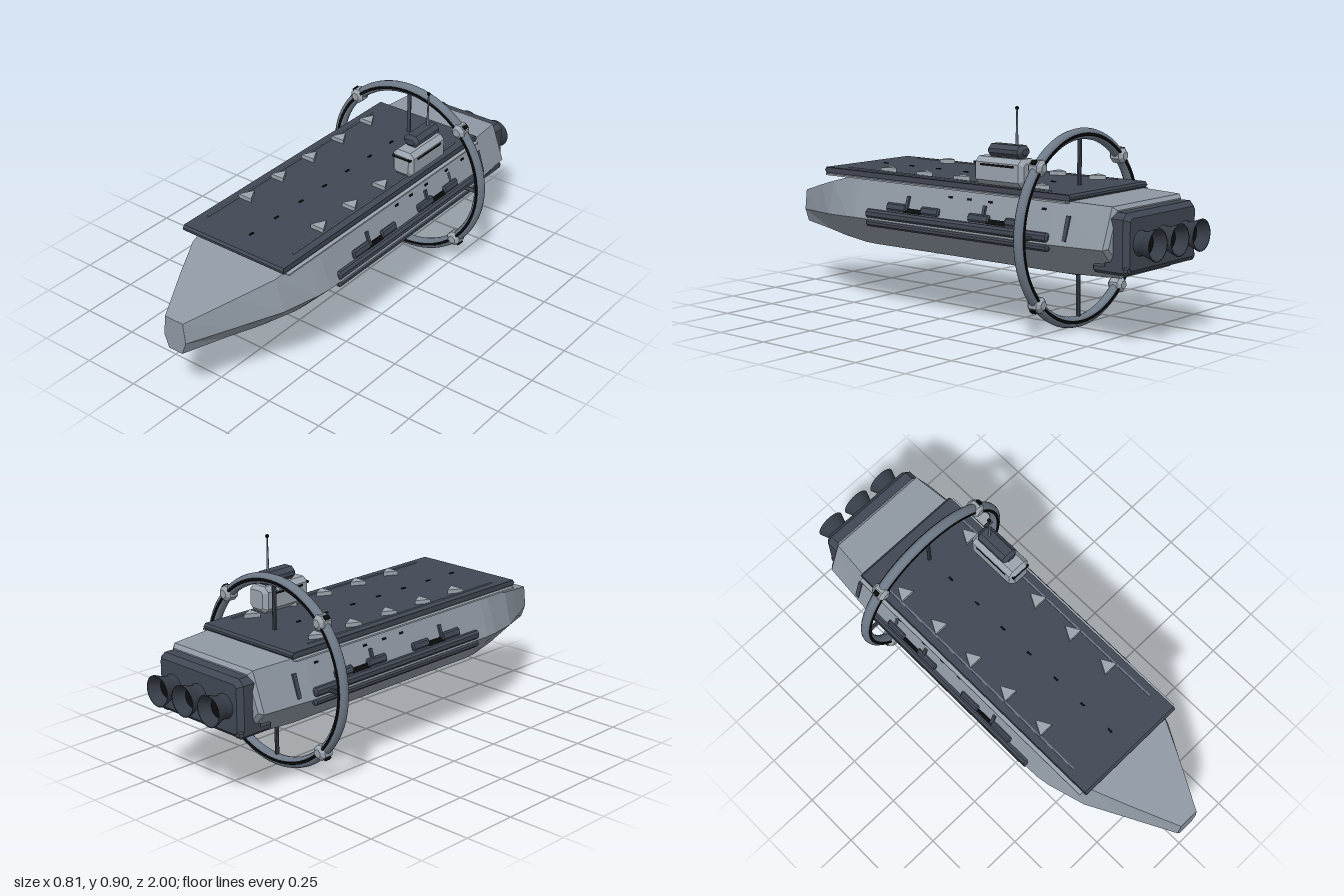
import * as THREE from 'three';

const mat = (color, side = THREE.FrontSide, flatShading = true) =>
  new THREE.MeshStandardMaterial({ color, side, flatShading });
const HULL = mat(0x8f98a3), DARK = mat(0x414854), BLACK = mat(0x0c0d0f);
const STEEL = mat(0x6f7a88, THREE.FrontSide, false), LIGHT = mat(0x9ba4ae);
const BELL = mat(0x363c46, THREE.DoubleSide, false);

// Box with chamfered edges, centred on the origin
function chamferBox(w, h, d, c) {
  const x = w / 2 - c, y = h / 2 - c, k = c * 0.6;
  const pts = [[x, -y + k], [x, y - k], [x - k, y], [k - x, y], [-x, y - k], [-x, k - y], [k - x, -y], [x - k, -y]];
  const shape = new THREE.Shape(pts.map(p => new THREE.Vector2(...p)));
  const g = new THREE.ExtrudeGeometry(shape, { depth: d - 2 * c, bevelSize: c, bevelThickness: c, bevelSegments: 1 });
  return g.translate(0, 0, c - d / 2);
}

// Hexagonal hull lofted from stern to bow
function hullGeometry() {
  // z, top y, top half width, chine y, chine half width, keel y, keel half width
  const rows = [
    [-0.86, 0.535, 0.215, 0.395, 0.27, 0.28, 0.16],
    [-0.845, 0.55, 0.228, 0.39, 0.288, 0.267, 0.17],
    [-0.6, 0.556, 0.25, 0.388, 0.308, 0.258, 0.183],
    [0.43, 0.556, 0.25, 0.388, 0.308, 0.258, 0.183],
    [0.49, 0.556, 0.243, 0.385, 0.298, 0.258, 0.176],
    [0.65, 0.515, 0.215, 0.374, 0.25, 0.264, 0.138],
    [0.8, 0.478, 0.145, 0.358, 0.166, 0.272, 0.09],
    [1, 0.426, 0.045, 0.338, 0.055, 0.282, 0.034],
  ];
  const loops = rows.map(([z, ty, tw, my, mw, by, bw]) =>
    [[bw, by, z], [mw, my, z], [tw, ty, z], [-tw, ty, z], [-mw, my, z], [-bw, by, z]]);
  const pos = [];
  const tri = (a, b, c) => pos.push(...a, ...b, ...c);
  for (let i = 0; i < loops.length - 1; i++) {
    for (let j = 0; j < 6; j++) {
      const k = (j + 1) % 6, p = loops[i], q = loops[i + 1];
      tri(p[j], p[k], q[k]);
      tri(p[j], q[k], q[j]);
    }
  }
  const bow = loops[loops.length - 1], stern = loops[0];
  for (let j = 1; j < 5; j++) {
    tri(bow[0], bow[j], bow[j + 1]);
    tri(stern[0], stern[j + 1], stern[j]);
  }
  const g = new THREE.BufferGeometry();
  g.setAttribute('position', new THREE.Float32BufferAttribute(pos, 3));
  g.computeVertexNormals();
  return g;
}

export function createModel() {
  const model = new THREE.Group();
  const add = (name, geo, material, x = 0, y = 0, z = 0, parent = model) => {
    const m = new THREE.Mesh(geo, material);
    m.name = name;
    m.position.set(x, y, z);
    parent.add(m);
    return m;
  };
  const box = (w, h, d) => new THREE.BoxGeometry(w, h, d);

  // Hull, keel plate and flight deck
  add('hull', hullGeometry(), HULL);
  add('keelPlate', chamferBox(0.19, 0.045, 0.96, 0.01), DARK, 0, 0.256, -0.11);
  add('deckUnderlay', box(0.545, 0.007, 1.3), LIGHT, 0, 0.551, -0.01);
  add('flightDeck', chamferBox(0.535, 0.027, 1.33, 0.009), DARK, 0, 0.567, -0.005);

  // Deck markers: flat triangles pointing aft, edge strips and centre lights
  const tri = new THREE.Shape([[-0.033, -0.03], [0.033, -0.03], [0, 0.03]].map(p => new THREE.Vector2(...p)));
  const triGeo = new THREE.ExtrudeGeometry(tri, { depth: 0.018, bevelEnabled: false }).rotateX(-Math.PI / 2);
  for (const s of [-1, 1]) {
    for (let i = 0; i < 5; i++) add('deckMarker', triGeo, LIGHT, s * 0.187, 0.58, -0.485 + i * 0.204);
    add('deckEdgeStrip', box(0.007, 0.006, 1.1), STEEL, s * 0.22, 0.582, 0);
  }
  for (let i = 0; i < 7; i++) add('deckLight', box(0.008, 0.006, 0.022), BLACK, 0, 0.581, -0.39 + i * 0.155);

  // Control tower with mast
  const tower = new THREE.Group();
  tower.name = 'controlTower';
  tower.position.set(0.204, 0, -0.305);
  model.add(tower);
  add('towerBase', chamferBox(0.106, 0.112, 0.25, 0.017), LIGHT, 0, 0.638, 0, tower);
  add('bridgeWindow', box(0.09, 0.009, 0.01), BLACK, 0, 0.668, 0.122, tower);
  for (const s of [-1, 1]) add('sideWindow', box(0.006, 0.009, 0.17), BLACK, s * 0.052, 0.664, 0, tower);
  add('towerTop', chamferBox(0.076, 0.052, 0.175, 0.015), DARK, 0, 0.72, -0.018, tower);
  add('mast', new THREE.CylinderGeometry(0.003, 0.006, 0.155, 8), STEEL, 0, 0.815, -0.06, tower);
  add('mastTip', new THREE.SphereGeometry(0.008, 12, 8), BLACK, 0, 0.892, -0.06, tower);

  // Habitat ring with inlaid bands, spokes and clamps
  const ring = new THREE.Group();
  ring.name = 'ringAssembly';
  ring.position.set(0, 0.405, -0.52);
  model.add(ring);
  add('ring', new THREE.TorusGeometry(0.38, 0.023, 12, 72), STEEL, 0, 0, 0, ring);
  for (const s of [-1, 1]) add('ringBand', new THREE.TorusGeometry(0.378, 0.008, 6, 72), BLACK, 0, 0, s * 0.0185, ring);
  for (let i = 0; i < 4; i++) {
    const arm = new THREE.Group();
    arm.name = 'ringArm';
    arm.rotation.z = i * Math.PI / 2;
    ring.add(arm);
    const len = i % 2 ? 0.3 : 0.16;
    add('spoke', new THREE.CylinderGeometry(0.009, 0.009, len, 10).rotateZ(Math.PI / 2), DARK, 0.365 - len / 2, 0, 0, arm);
    const clamp = new THREE.Group();
    clamp.name = 'ringClamp';
    clamp.rotation.z = Math.PI / 4;
    arm.add(clamp);
    add('clampBody', chamferBox(0.06, 0.06, 0.068, 0.014), LIGHT, 0.38, 0, 0, clamp);
    add('clampPad', box(0.012, 0.018, 0.024), BLACK, 0.412, 0, 0, clamp);
  }

  // Side galleries, mirrored
  for (const s of [-1, 1]) {
    const side = new THREE.Group();
    side.name = s > 0 ? 'leftGallery' : 'rightGallery';
    model.add(side);
    const put = (name, geo, m, x, y, z) => {
      const part = add(name, geo, m, s * x, y, z, side);
      part.rotation.z = s * 0.31;
    };
    add('upperRail', chamferBox(0.036, 0.036, 0.97, 0.008), DARK, s * 0.297, 0.413, -0.115, side);
    add('lowerRail', chamferBox(0.03, 0.03, 0.97, 0.008), DARK, s * 0.297, 0.373, -0.115, side);
    // Equipment boxes above the rail
    for (const z0 of [0.125, -0.32]) {
      put('equipmentBox', chamferBox(0.024, 0.034, 0.11, 0.006), DARK, 0.287, 0.45, z0 + 0.08);
      put('equipmentBox', chamferBox(0.024, 0.034, 0.1, 0.006), DARK, 0.287, 0.45, z0 - 0.105);
      put('equipmentLink', box(0.02, 0.02, 0.1), BLACK, 0.286, 0.441, z0 - 0.01);
    }
    for (const z of [0.15, -0.26]) put('hullRib', box(0.014, 0.06, 0.014), DARK, 0.281, 0.472, z);
    for (const z of [-0.44, -0.67]) put('hullRib', box(0.016, 0.1, 0.018), DARK, 0.277, 0.453, z);
    for (const z of [-0.07, -0.17, -0.28, -0.43, -0.55]) put('porthole', box(0.006, 0.009, 0.02), BLACK, 0.264, 0.517, z);
    add('sternSkid', chamferBox(0.05, 0.04, 0.16, 0.01), DARK, s * 0.215, 0.312, -0.84, side);
  }

  // Engine block and three nozzles
  add('engineBlock', chamferBox(0.48, 0.24, 0.12, 0.02), DARK, 0, 0.41, -0.863);
  const profile = [[0.055, 0], [0.046, 0.025], [0.05, 0.05], [0.065, 0.09], [0.058, 0.09], [0.042, 0.045], [0.036, 0.02]];
  const bell = new THREE.LatheGeometry(profile.map(p => new THREE.Vector2(...p)), 28).rotateX(-Math.PI / 2);
  const core = new THREE.CircleGeometry(0.045, 28).rotateY(Math.PI);
  for (const x of [-0.15, 0, 0.15]) {
    add('nozzle', bell, BELL, x, 0.41, -0.91);
    add('nozzleCore', core, BLACK, x, 0.41, -0.952);
  }
  return model;
}
